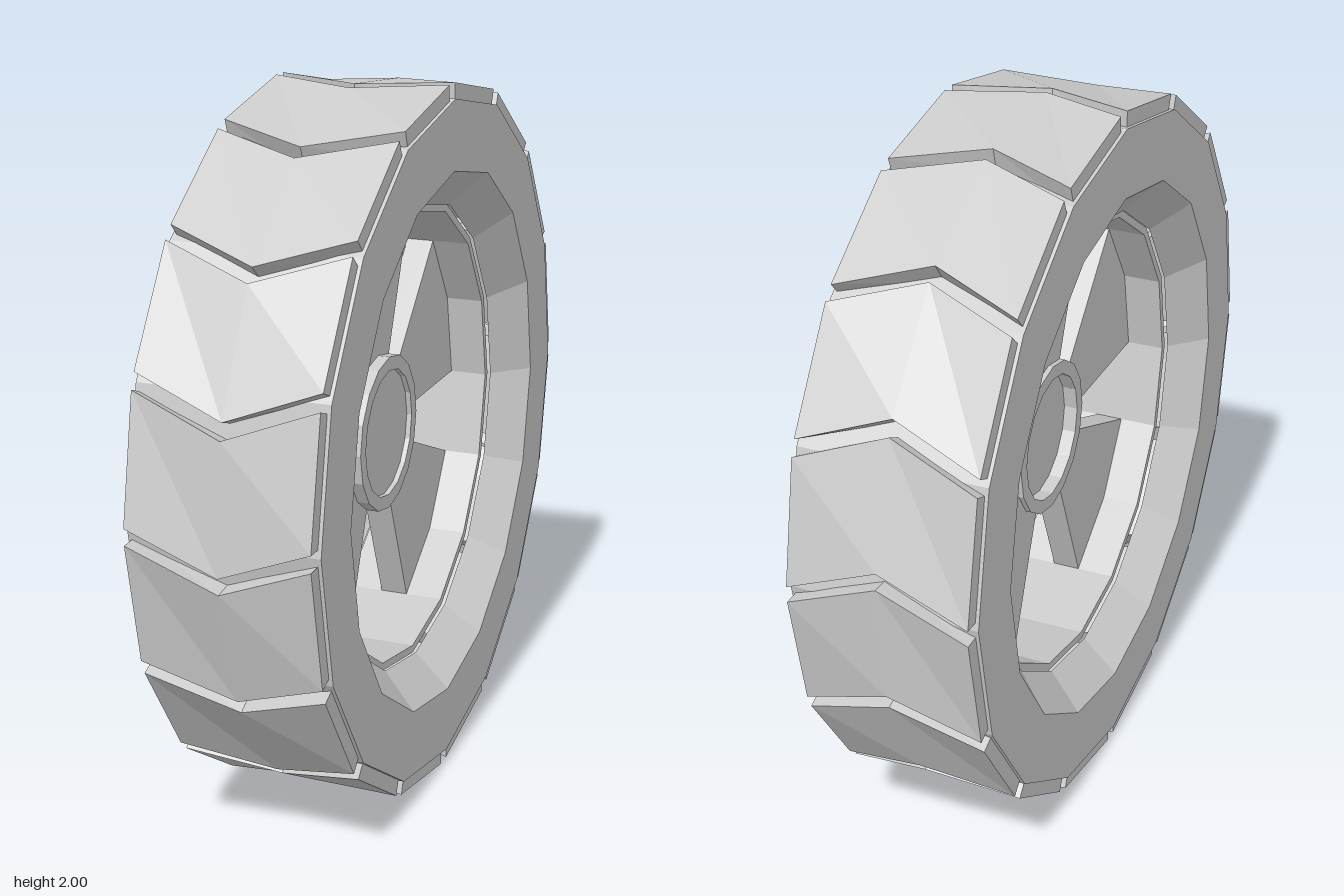
import * as THREE from 'three';

const SIDES = 16;
const STEP = (Math.PI * 2) / SIDES;
const grey = new THREE.MeshStandardMaterial({ color: 0xcccccc, flatShading: true });

function addMesh(parent, name, geometry) {
  const mesh = new THREE.Mesh(geometry, grey);
  mesh.name = name;
  parent.add(mesh);
  return mesh;
}

// Turned part about the x axis; profile points are [radius, x]
function turned(profile) {
  const points = profile.map(([r, x]) => new THREE.Vector2(r, x));
  return new THREE.LatheGeometry(points, SIDES).rotateZ(-Math.PI / 2);
}

// Chevron block: three cross-sections, the middle one swung forward
function treadBlock(start) {
  const gap = 0.0225, swing = STEP / 4;
  const positions = [], index = [];
  for (const [x, shift] of [[-0.25, 0], [0, swing], [0.25, 0]]) {
    const a = start + shift + gap, b = start + STEP + shift - gap;
    for (const [r, t] of [[0.92, a], [1, a], [1, b], [0.92, b]]) {
      positions.push(x, r * Math.cos(t), r * Math.sin(t));
    }
  }
  const quad = (a, b, c, d) => index.push(a, b, c, a, c, d);
  for (let s = 0; s < 2; s++) {
    for (let k = 0; k < 4; k++) {
      const n = (k + 1) % 4;
      quad(s * 4 + k, s * 4 + n, s * 4 + 4 + n, s * 4 + 4 + k);
    }
  }
  quad(3, 2, 1, 0);
  quad(8, 9, 10, 11);
  // Wind every face outward
  for (let i = 0; i < index.length; i += 3) {
    [index[i + 1], index[i + 2]] = [index[i + 2], index[i + 1]];
  }
  const geometry = new THREE.BufferGeometry();
  geometry.setAttribute('position', new THREE.Float32BufferAttribute(positions, 3));
  geometry.setIndex(index);
  const flat = geometry.toNonIndexed();
  // Check winding against the outward direction of the block top
  const p = flat.attributes.position;
  const v = (i) => new THREE.Vector3().fromBufferAttribute(p, i);
  const top = 6; // first corner of the outer face
  const normal = v(top + 1).sub(v(top)).cross(v(top + 2).sub(v(top)));
  if (normal.dot(v(top)) < 0) {
    for (let i = 0; i < p.count; i += 3) {
      const b = v(i + 1), c = v(i + 2);
      p.setXYZ(i + 1, c.x, c.y, c.z);
      p.setXYZ(i + 2, b.x, b.y, b.z);
    }
  }
  flat.computeVertexNormals();
  return flat;
}

// Wedge spoke spanning two sides of the rim
function spoke(first) {
  const at = (r, k) => new THREE.Vector2(-r * Math.sin(k * STEP), r * Math.cos(k * STEP));
  const shape = new THREE.Shape([
    at(0.2, first), at(0.65, first), at(0.65, first + 1),
    at(0.65, first + 2), at(0.2, first + 2),
  ]);
  return new THREE.ExtrudeGeometry(shape, { depth: 0.08, bevelEnabled: false })
    .translate(0, 0, -0.04)
    .rotateY(Math.PI / 2);
}

export function createModel() {
  const wheel = new THREE.Group();
  wheel.name = 'wheel';
  wheel.position.y = 1;

  // Tyre with flat walls and a sloped inner shoulder
  addMesh(wheel, 'tyre', turned([
    [0.665, -0.16], [0.765, -0.26], [0.96, -0.26], [0.96, 0.26], [0.765, 0.26], [0.665, 0.16],
  ]));

  // Tread blocks
  const tread = new THREE.Group();
  tread.name = 'tread';
  for (let i = 0; i < SIDES; i++) addMesh(tread, 'treadBlock', treadBlock(i * STEP));
  wheel.add(tread);

  // Rim band
  addMesh(wheel, 'rim', turned([
    [0.668, -0.165], [0.668, -0.15], [0.668, 0.15], [0.645, 0.15], [0.645, -0.15], [0.668, -0.15],
  ].slice(2)));

  // Five spokes, with a double-width opening at the bottom
  const spokes = new THREE.Group();
  spokes.name = 'spokes';
  for (const first of [-1, 2, 5, 9, 12]) addMesh(spokes, 'spoke', spoke(first));
  wheel.add(spokes);

  // Hub: shallow recess outside, deeper recess inside
  addMesh(wheel, 'hub', turned([
    [0, -0.015], [0.185, -0.015], [0.185, -0.055], [0.225, -0.055],
    [0.225, 0.075], [0.185, 0.075], [0.185, 0.06], [0, 0.06],
  ]));

  const model = new THREE.Group();
  model.name = 'model';
  model.add(wheel);
  return model;
}
